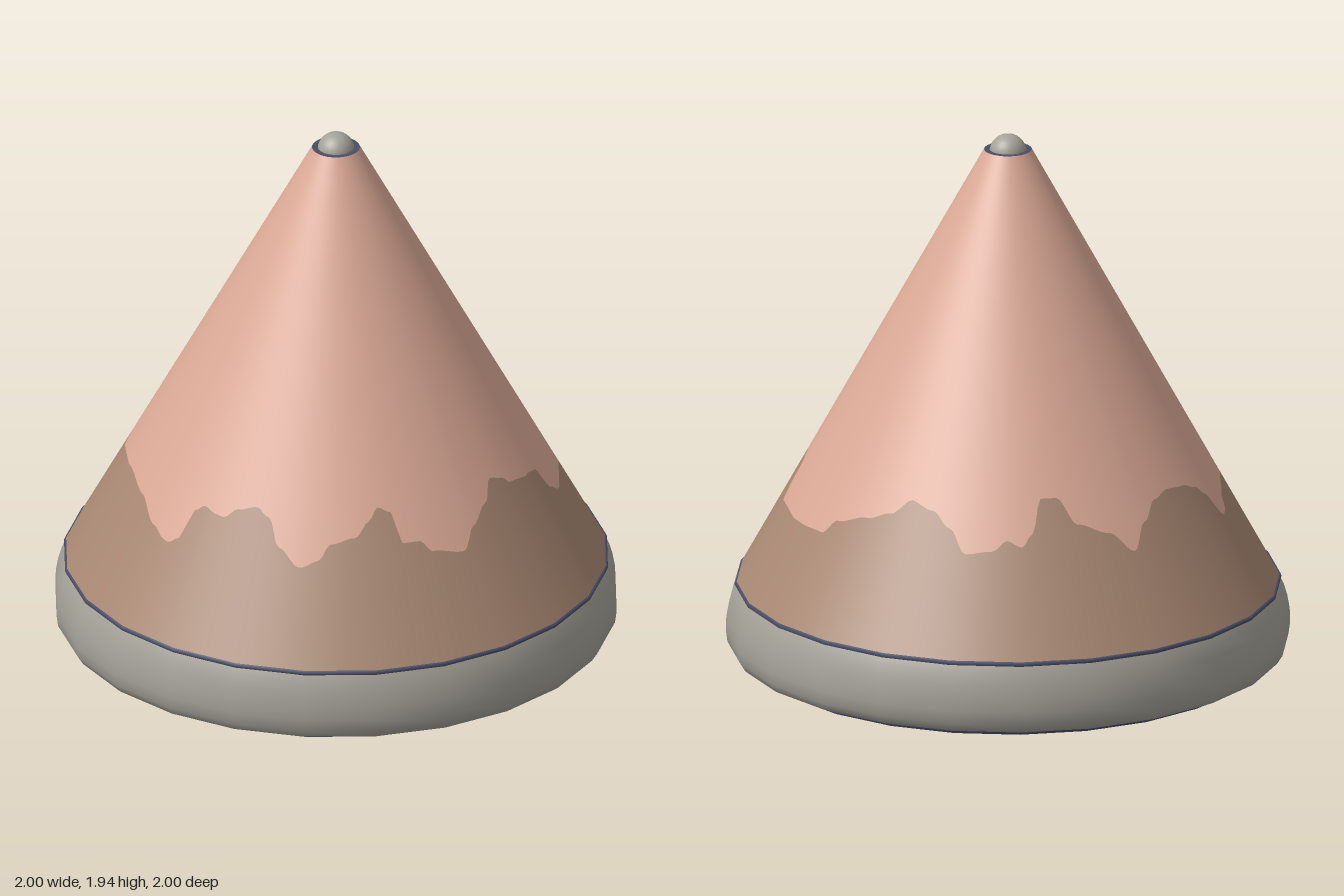
import * as THREE from 'three';

const SIDES = 24;
const BASE = { y: 0.285, r: 0.963 }, TIP = { y: 1.885, r: 0.085 };

// Wavy paint edge as [degrees from front towards +x, height]
const EDGE = [
  [0, 0.725], [3, 0.72], [7, 0.755], [13, 0.775], [17, 0.75], [21, 0.66], [27, 0.605], [32, 0.63],
  [35, 0.68], [42, 0.7], [46, 0.75], [49, 0.79], [53, 0.77], [55, 0.67], [60, 0.67], [63, 0.63],
  [72, 0.605], [77, 0.67], [84, 0.72], [89, 0.785], [94, 0.765], [97, 0.735], [106, 0.72], [112, 0.705],
  [115, 0.62], [119, 0.59], [141, 0.59], [151, 0.6], [154, 0.65], [165, 0.69], [172, 0.72], [178, 0.775],
  [185, 0.75], [191, 0.7], [196, 0.625], [203, 0.635], [207, 0.67], [211, 0.65], [214, 0.69], [217, 0.8],
  [222, 0.8], [227, 0.71], [236, 0.67], [242, 0.6], [248, 0.68], [254, 0.74], [260, 0.755], [268, 0.745],
  [274, 0.72], [278, 0.68], [282, 0.59], [289, 0.64], [300, 0.67], [317, 0.69], [330, 0.67], [341, 0.61],
  [348, 0.585], [351, 0.61], [353, 0.71], [356, 0.735], [360, 0.725],
];

function edgeHeight(deg) {
  const i = Math.min(EDGE.findIndex((p) => p[0] > deg % 360), EDGE.length - 1);
  const [a, b] = [EDGE[i - 1], EDGE[i]];
  const t = THREE.MathUtils.smoothstep(deg % 360, a[0], b[0]);
  return a[1] + (b[1] - a[1]) * t;
}

// Strip of the 24-sided cone between two height functions
function coneStrip(low, high) {
  const pos = [], nor = [], idx = [];
  const slope = (BASE.r - TIP.r) / (TIP.y - BASE.y);
  const half = Math.PI / SIDES, len = Math.hypot(1, slope);
  for (let d = 0; d <= 360; d++) {
    const a = THREE.MathUtils.degToRad(d);
    const facet = Math.cos(half) / Math.cos((a % (2 * half)) - half);
    for (const y of [low(d), high(d)]) {
      const r = (BASE.r - (y - BASE.y) * slope) * facet;
      pos.push(r * Math.sin(a), y, r * Math.cos(a));
      nor.push(Math.sin(a) / len, slope / len, Math.cos(a) / len);
    }
    if (d < 360) {
      const k = d * 2;
      idx.push(k, k + 2, k + 3, k, k + 3, k + 1);
    }
  }
  const g = new THREE.BufferGeometry();
  g.setAttribute('position', new THREE.Float32BufferAttribute(pos, 3));
  g.setAttribute('normal', new THREE.Float32BufferAttribute(nor, 3));
  g.setIndex(idx);
  return g;
}

const lathe = (points) =>
  new THREE.LatheGeometry(points.map(([r, y]) => new THREE.Vector2(r, y)), SIDES);

export function createModel() {
  const group = new THREE.Group();
  const material = (name, color, side = THREE.FrontSide) => {
    const m = new THREE.MeshStandardMaterial({ color, side });
    m.name = name;
    return m;
  };
  const salmon = material('salmon', 0xdba996);
  const brown = material('brown', 0xa98873);
  const grey = material('warm grey', 0xa5a299, THREE.DoubleSide);
  const navy = material('navy', 0x4a4d66, THREE.DoubleSide);
  const add = (name, geometry, mat, y = 0) => {
    const mesh = new THREE.Mesh(geometry, mat);
    mesh.name = name;
    mesh.position.y = y;
    group.add(mesh);
    return mesh;
  };

  // Two-tone cone meeting along the wavy edge
  add('lowerCone', coneStrip(() => BASE.y, edgeHeight), brown);
  add('upperCone', coneStrip(edgeHeight, () => TIP.y), salmon);

  // Rounded base band with thin seams above and below
  add('baseBand', lathe([
    [0.91, 0.018], [0.945, 0.022], [0.975, 0.035], [0.994, 0.065], [1, 0.11],
    [0.998, 0.16], [0.989, 0.21], [0.977, 0.25], [0.966, 0.274],
  ]), grey);
  add('upperSeam', lathe([[0.966, 0.272], [0.969, 0.279], [0.966, 0.288], [0.955, 0.288]]), navy);
  add('lowerSeam', lathe([[0.905, 0], [0.912, 0.018], [0.945, 0.021]]), navy);

  // Underside
  const underside = add('underside', new THREE.CircleGeometry(0.905, SIDES), brown);
  underside.rotation.x = Math.PI / 2;

  // Tip ring and ball
  add('tipRing', lathe([[0.085, 1.885], [0.06, 1.885]]), navy);
  add('tipBall', new THREE.SphereGeometry(0.066, 24, 16), grey, 1.874);
  return group;
}
